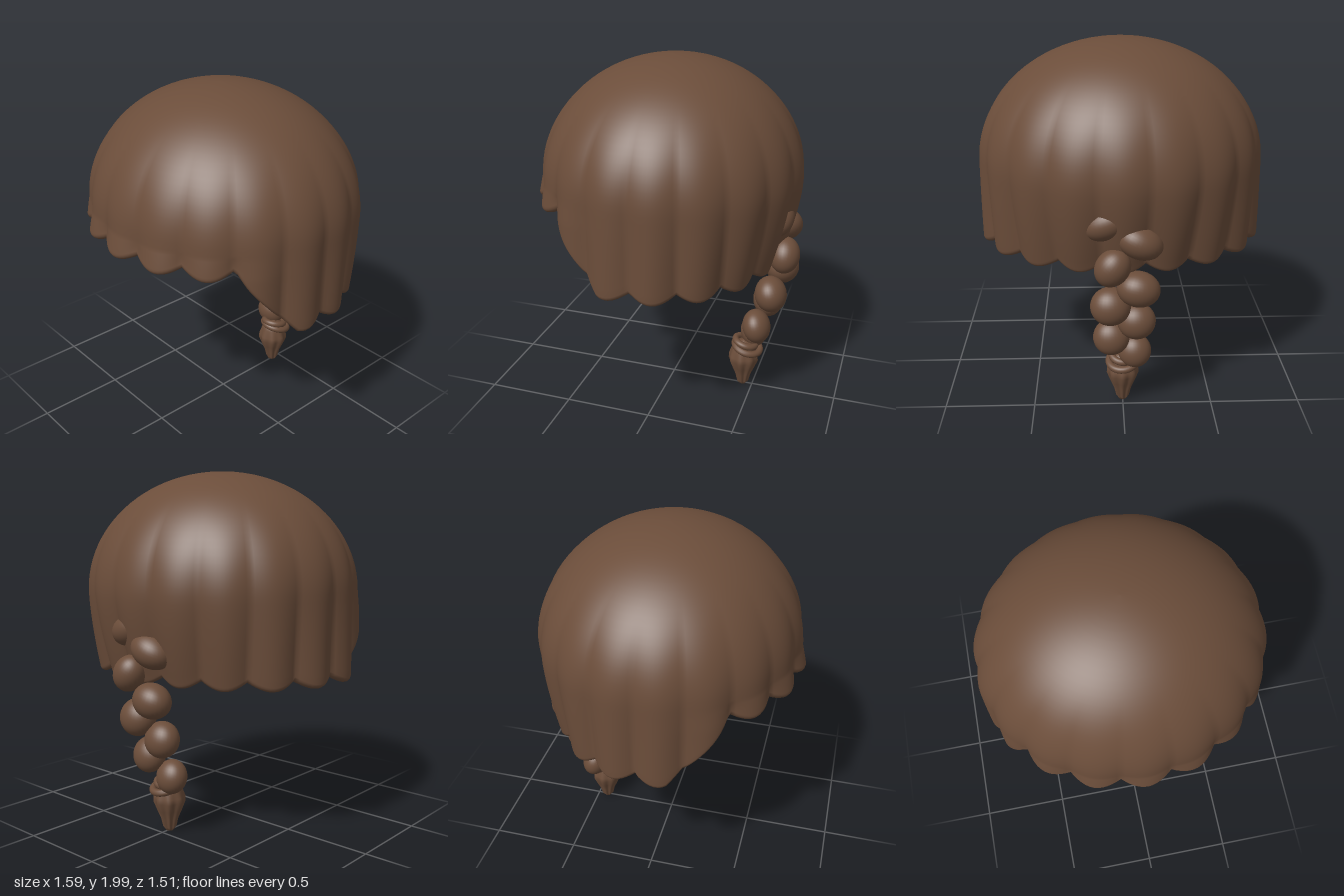
import * as THREE from 'three';

const LOBES = 18, COLS = 216, THICK = 0.05;
const { lerp, clamp, smoothstep, degToRad } = THREE.MathUtils;

// Height of the hem around the head: short fringe, sloping flanks, long back
function hemHeight(theta) {
  const deg = Math.abs(theta > Math.PI ? theta - 2 * Math.PI : theta) * 180 / Math.PI;
  const t = clamp((deg - 52) / 25, 0, 1);
  const drop = 1 - Math.pow(1 - t, 1.5);
  const flank = 4 * t * (1 - t);
  const lobe = Math.abs(Math.cos(theta * LOBES / 2));
  return lerp(1.283, 0.945, drop) - 0.045 * lobe * (1 - flank);
}

// Point on the cap; s runs from crown (0) to hem (1), inset moves it inwards
function capPoint(theta, s, inset, dy = 0) {
  const c = Math.cos(theta), lower = Math.max(0, (s - 0.7) / 0.3);
  const phi = Math.min(s / 0.7, 1) * Math.PI / 2;
  const y = s < 0.7 ? 1.35 + (0.65 - inset) * Math.cos(phi) : lerp(1.35, hemHeight(theta), lower);
  const d = Math.max(0, 1.35 - y);
  let k = Math.sin(phi);
  if (c > 0) k += c * c * 0.3 * Math.min(d, 0.12) + (1 - c * c) * 0.02 * d;
  else k -= c * c * 0.14 * Math.pow(d / 0.45, 1.5);
  const lobe = Math.abs(Math.cos(theta * LOBES / 2)) - 0.7;
  k += lobe * 0.05 * smoothstep(s, 0.3, 1);
  return [(0.785 - inset) * k * Math.sin(theta), y + dy, (0.725 - inset) * k * c];
}

// Hollow cap: outer wall, rounded hem, inner wall
function capGeometry() {
  const rows = [];
  for (let i = 0; i <= 36; i++) rows.push([i / 36, 0, 0]);
  for (let i = 1; i < 8; i++) {
    const a = i / 8 * Math.PI;
    rows.push([1, THICK / 2 * (1 - Math.cos(a)), -THICK / 2 * Math.sin(a)]);
  }
  for (let i = 28; i >= 0; i--) rows.push([i / 28, THICK, 0]);
  const pos = [], index = [];
  rows.forEach(([s, inset, dy], i) => {
    for (let j = 0; j < COLS; j++) {
      pos.push(...capPoint(j / COLS * Math.PI * 2, s, inset, dy));
      if (i === rows.length - 1) continue;
      const a = i * COLS + j, b = i * COLS + (j + 1) % COLS;
      index.push(a, a + COLS, b, b, a + COLS, b + COLS);
    }
  });
  const g = new THREE.BufferGeometry();
  g.setAttribute('position', new THREE.Float32BufferAttribute(pos, 3));
  g.setIndex(index);
  g.computeVertexNormals();
  return g;
}

// Fluted tuft, pinched towards its tip
function tuftGeometry() {
  const profile = [[0, 0.01], [0.02, 0.01], [0.034, 0.03], [0.045, 0.08], [0.065, 0.13],
    [0.085, 0.18], [0.085, 0.21], [0.07, 0.26], [0.06, 0.3], [0, 0.31]];
  const g = new THREE.LatheGeometry(profile.map(p => new THREE.Vector2(...p)), 64);
  const p = g.attributes.position;
  for (let i = 0; i < p.count; i++) {
    const x = p.getX(i), z = p.getZ(i);
    const f = 1 + 0.09 * Math.cos(8 * Math.atan2(z, x)) * smoothstep(0.28 - p.getY(i), 0, 0.15);
    p.setX(i, x * f);
    p.setZ(i, z * f);
  }
  g.computeVertexNormals();
  return g;
}

export function createModel() {
  const group = new THREE.Group();
  const hair = new THREE.MeshStandardMaterial({ color: 0x6b4d3a });
  hair.name = 'brown hair';
  const add = (name, geometry, parent = group) => {
    const m = new THREE.Mesh(geometry, hair);
    m.name = name;
    parent.add(m);
    return m;
  };

  add('hairCap', capGeometry());

  // Braid strands: centre, radii, roll in degrees
  const braid = new THREE.Group();
  braid.name = 'braid';
  group.add(braid);
  const strands = [
    [0.085, 1.16, -0.61, 0.135, 0.09, 0.1, -22],
    [-0.08, 1.06, -0.635, 0.125, 0.09, 0.1, 22],
    [0.06, 0.93, -0.665, 0.09, 0.105, 0.085, 35],
    [-0.075, 0.795, -0.635, 0.115, 0.095, 0.095, 10],
    [0.07, 0.68, -0.6, 0.108, 0.104, 0.09, 0],
    [-0.07, 0.57, -0.56, 0.104, 0.1, 0.085, 0],
    [0.065, 0.455, -0.525, 0.1, 0.1, 0.08, 0],
    [-0.065, 0.345, -0.485, 0.092, 0.095, 0.077, 0],
  ];
  const ball = new THREE.SphereGeometry(1, 32, 20);
  strands.forEach(([x, y, z, rx, ry, rz, roll], i) => {
    const m = add('braidStrand' + (i + 1), ball, braid);
    m.position.set(x, y, z);
    m.scale.set(rx, ry, rz);
    m.rotation.set(degToRad(i > 2 ? 15 : 0), 0, degToRad(roll));
  });

  // Hair tie: two tilted loops
  [[0.3, -0.45, 0.062, 0.02, 4], [0.272, -0.462, 0.078, 0.02, -5]].forEach(([y, z, r, tube, roll], i) => {
    const m = add('hairTie' + (i + 1), new THREE.TorusGeometry(r, tube, 12, 40), braid);
    m.position.set(0, y, z);
    m.rotation.set(degToRad(90 - 16), degToRad(roll), 0);
  });

  add('braidTuft', tuftGeometry(), braid).position.z = -0.44;
  return group;
}
